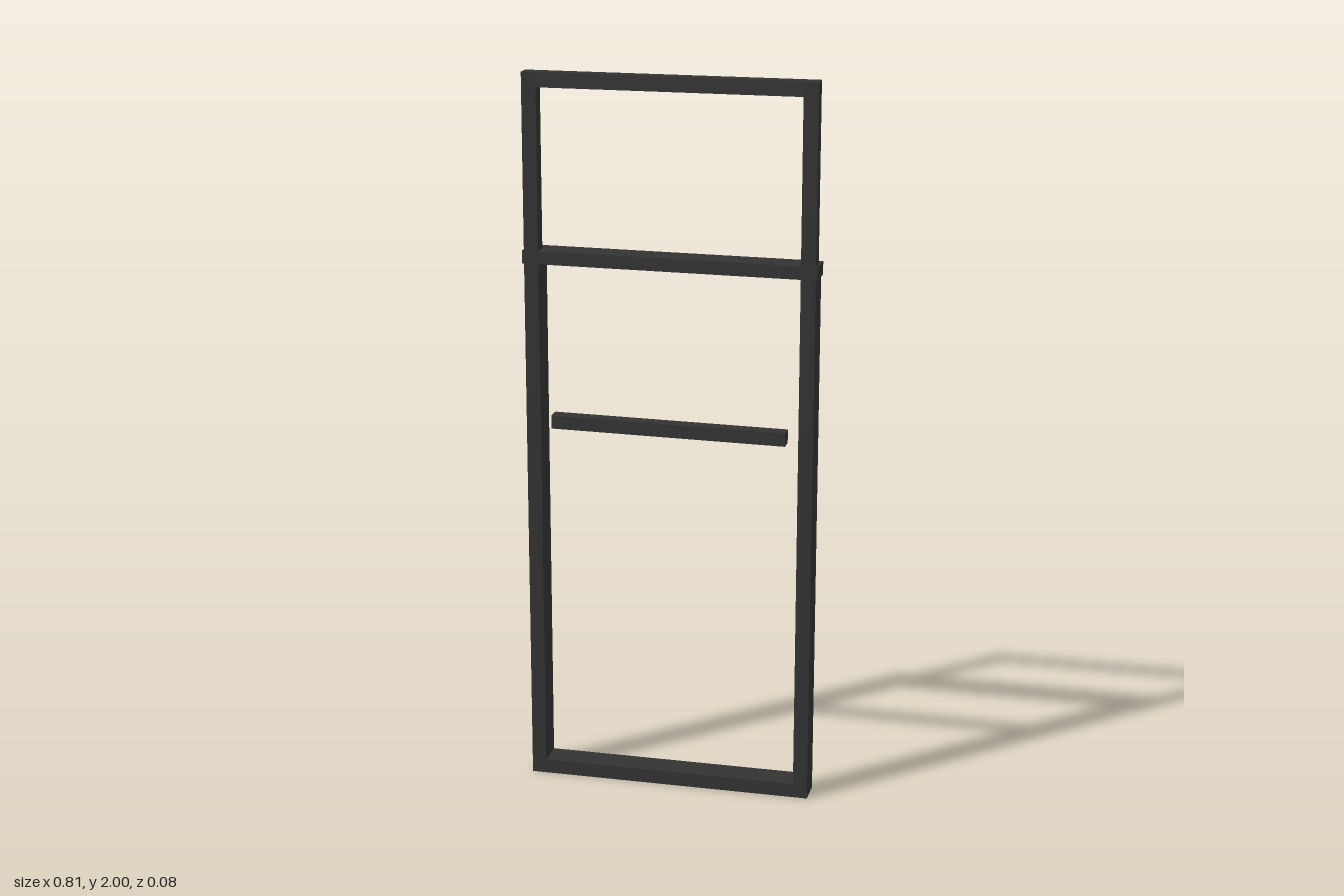
import * as THREE from 'three';

const material = new THREE.MeshStandardMaterial({ color: 0x333333 });
const BAR = 0.04; // bar thickness
const HALF = 0.398; // half width of the frames

function bar(name, width, height, depth, x, y, z, tilt = 0) {
  const mesh = new THREE.Mesh(new THREE.BoxGeometry(width, height, depth), material);
  mesh.name = name;
  mesh.position.set(x, y, z);
  mesh.rotation.z = tilt;
  return mesh;
}

// Two posts standing on a bottom rail
function uprights(name, height, z) {
  const group = new THREE.Group();
  group.name = name;
  for (const [side, s] of [['left', 1], ['right', -1]]) {
    group.add(bar(side + 'Post', BAR, height, BAR, s * (HALF - BAR / 2), height / 2, z));
  }
  group.add(bar('bottomRail', 2 * (HALF - BAR), BAR, BAR, 0, BAR / 2, z));
  return group;
}

export function createModel() {
  const model = new THREE.Group();
  model.name = 'doorFrame';

  // Tall front frame, closed at the top
  const front = uprights('frontFrame', 2, BAR / 2);
  front.add(bar('topRail', 2 * (HALF - BAR), BAR, BAR, 0, 2 - BAR / 2, BAR / 2));
  model.add(front);

  // Shorter rear frame
  model.add(uprights('rearFrame', 1.5, -BAR / 2));

  // Slightly tilted rail across both frames, poking out at the sides
  model.add(bar('crossRail', 0.806, 0.036, 2 * BAR, 0, 1.5, 0, -0.006));

  // Loose, slightly tilted bar within the front opening
  model.add(bar('middleBar', 0.65, 0.037, BAR, -0.003, 1.042, BAR / 2, -0.01));

  return model;
}
